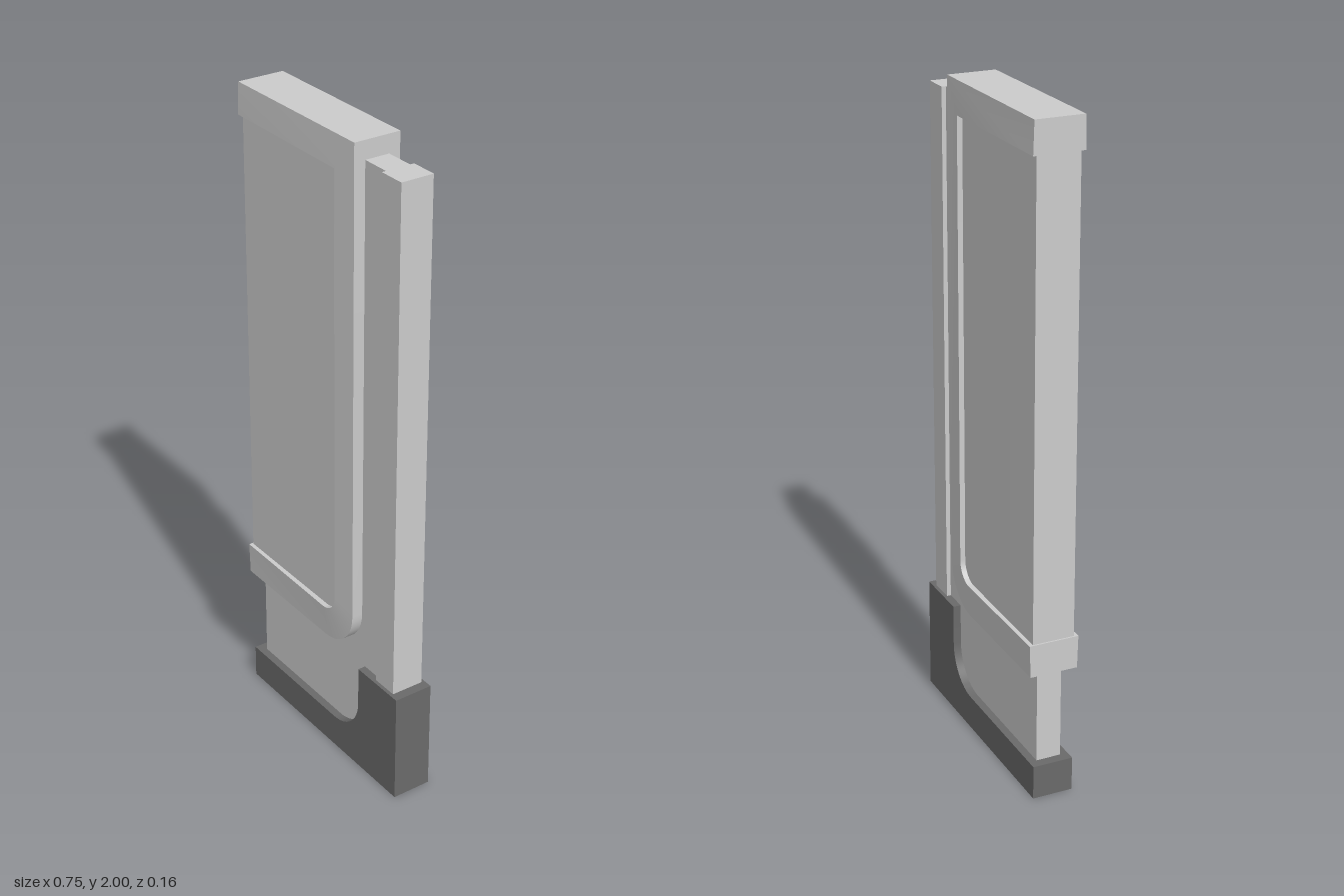
import * as THREE from 'three';
import { toCreasedNormals } from 'three/addons/utils/BufferGeometryUtils.js';

const grey = new THREE.MeshStandardMaterial({ color: 0xcccccc });
const dark = new THREE.MeshStandardMaterial({ color: 0x6a6a6a });

function addMesh(group, name, geometry, material) {
  const mesh = new THREE.Mesh(geometry, material);
  mesh.name = name;
  group.add(mesh);
}

// Box from its x and y limits and half depth, centred on z = 0
function slab(x0, x1, y0, y1, halfDepth) {
  return new THREE.BoxGeometry(x1 - x0, y1 - y0, halfDepth * 2)
    .translate((x0 + x1) / 2, (y0 + y1) / 2, 0);
}

// C-shaped path: top rail, upright, rounded lower corner, bottom rail
function railPath(left, right, top, bottom, radius, steps) {
  const points = [[left, top], [right, top]];
  for (let i = 0; i <= steps; i++) {
    const a = (i / steps) * Math.PI / 2;
    points.push([
      right - radius + radius * Math.cos(a),
      bottom + radius - radius * Math.sin(a),
    ]);
  }
  points.push([left, bottom]);
  return points;
}

// Solid frame whose faces slope from a thin outer edge to a thicker inner edge
function frameGeometry() {
  const outer = railPath(-0.375, 0.172, 2.0, 0.4, 0.135, 10);
  const inner = railPath(-0.375, 0.092, 1.905, 0.5, 0.06, 10);
  const last = outer.length - 1;
  const sections = outer.map(([ox, oy], i) => {
    const [ix, iy] = inner[i];
    const zi = i === 0 || i === last ? 0.076 : 0.08;
    const zo = 0.073;
    return [[ox, oy, zo], [ix, iy, zi], [ix, iy, -zi], [ox, oy, -zo]];
  });
  const positions = [];
  const quad = (a, b, c, d) => positions.push(...a, ...b, ...c, ...a, ...c, ...d);
  for (let i = 0; i < last; i++) {
    const s = sections[i], t = sections[i + 1];
    for (let k = 0; k < 4; k++) {
      const n = (k + 1) % 4;
      quad(s[k], s[n], t[n], t[k]);
    }
  }
  const [a, b, c, d] = sections[0];
  quad(a, d, c, b);
  quad(...sections[last]);
  const geometry = new THREE.BufferGeometry();
  geometry.setAttribute('position', new THREE.Float32BufferAttribute(positions, 3));
  geometry.computeVertexNormals();
  return toCreasedNormals(geometry, 0.4);
}

// L-shaped base with a rounded inside corner
function baseGeometry() {
  const shape = new THREE.Shape();
  shape.moveTo(-0.375, 0);
  shape.lineTo(0.375, 0);
  shape.lineTo(0.375, 0.355);
  shape.lineTo(0.188, 0.355);
  shape.lineTo(0.188, 0.23);
  shape.absarc(0.063, 0.23, 0.125, 0, -Math.PI / 2, true);
  shape.lineTo(-0.375, 0.105);
  shape.closePath();
  const geometry = new THREE.ExtrudeGeometry(shape, {
    depth: 0.124, bevelEnabled: false, curveSegments: 10,
  }).translate(0, 0, -0.062);
  return toCreasedNormals(geometry, 0.4);
}

export function createModel() {
  const group = new THREE.Group();
  group.name = 'slidingDoorPanel';

  addMesh(group, 'base', baseGeometry(), dark);
  // Thin core running behind the frame, with a thicker post along its edge
  addMesh(group, 'core', slab(-0.345, 0.27, 0.08, 1.945, 0.038), grey);
  addMesh(group, 'edgePost', slab(0.262, 0.345, 0.3, 1.945, 0.051), grey);
  // Recessed panel inside the raised frame
  addMesh(group, 'panel', slab(-0.37, 0.11, 0.47, 1.95, 0.064), grey);
  addMesh(group, 'frame', frameGeometry(), grey);

  return group;
}
